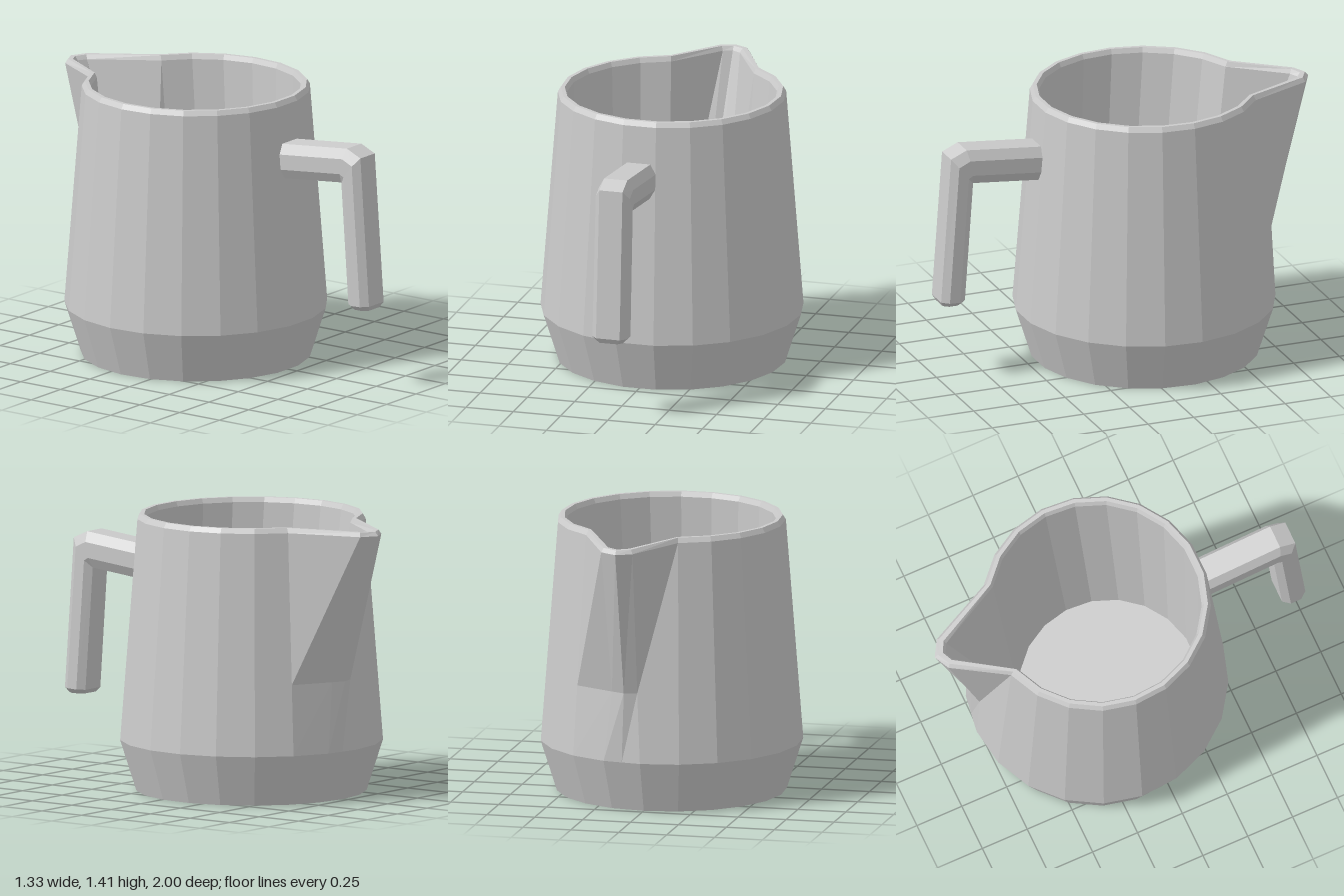
import * as THREE from 'three';

const SIDES = 21;
const material = new THREE.MeshStandardMaterial({ color: 0xcccccc, flatShading: true, side: THREE.DoubleSide });

// Skin a list of equal-length rings and close both ends with fans
function loft(name, rings) {
  const n = rings[0].length, pos = [];
  const tri = (a, b, c) => pos.push(...a, ...b, ...c);
  for (let r = 0; r + 1 < rings.length; r++) {
    for (let i = 0; i < n; i++) {
      const j = (i + 1) % n, lo = rings[r], hi = rings[r + 1];
      tri(lo[i], lo[j], hi[j]);
      tri(lo[i], hi[j], hi[i]);
    }
  }
  const first = rings[0], last = rings[rings.length - 1];
  const centre = ring => [0, 1, 2].map(k => ring.reduce((s, p) => s + p[k], 0) / n);
  const c0 = centre(first), c1 = centre(last);
  for (let i = 0; i < n; i++) {
    const j = (i + 1) % n;
    tri(c0, first[j], first[i]);
    tri(c1, last[i], last[j]);
  }
  const geo = new THREE.BufferGeometry();
  geo.setAttribute('position', new THREE.Float32BufferAttribute(pos, 3));
  geo.computeVertexNormals();
  const mesh = new THREE.Mesh(geo, material);
  mesh.name = name;
  return mesh;
}

// Round ring whose back facet can be pulled out into three spout points [x, y, z]
function jugRing(y, radius, zc, spout) {
  const ring = [];
  for (let i = 0; i < SIDES; i++) {
    const a = (i + 0.5) * Math.PI * 2 / SIDES;
    ring.push([radius * Math.sin(a), y, zc + radius * Math.cos(a)]);
  }
  const [p, q] = [ring[9], ring[10]];
  const back = spout || [p, p.map((v, k) => (v + q[k]) / 2), q];
  ring.splice(9, 2, ...back);
  return ring;
}

// Octagonal handle section between an outer and an inner point, each [z, y]
function handleRing(outer, inner, halfWidth) {
  const section = [[1, 0.28], [0.68, 0.0], [-0.68, 0.0], [-1, 0.28], [-1, 0.72], [-0.68, 1], [0.68, 1], [1, 0.72]];
  return section.map(([x, t]) => [
    x * halfWidth,
    THREE.MathUtils.lerp(outer[1], inner[1], t),
    THREE.MathUtils.lerp(outer[0], inner[0], t),
  ]);
}

export function createModel() {
  const group = new THREE.Group();
  group.name = 'pitcher';
  const zc = -0.135;

  // Body: outer wall upward, over the chamfered rim, down the inner wall to the floor
  group.add(loft('body', [
    jugRing(0, 0.585, zc),
    jugRing(0.26, 0.668, zc),
    jugRing(0.62, 0.64, zc, [[0.155, 0.62, -0.765], [0.086, 0.62, -0.795], [0.02, 0.62, -0.778]]),
    jugRing(1.39, 0.58, zc, [[0.165, 1.38, -0.95], [0.08, 1.38, -1], [0, 1.38, -0.96]]),
    jugRing(1.415, 0.565, zc, [[0.155, 1.402, -0.94], [0.08, 1.4, -0.982], [0.01, 1.402, -0.948]]),
    jugRing(1.415, 0.545, zc, [[0.135, 1.402, -0.925], [0.08, 1.4, -0.955], [0.025, 1.402, -0.93]]),
    jugRing(1.39, 0.533, zc, [[0.125, 1.38, -0.915], [0.08, 1.38, -0.94], [0.033, 1.38, -0.92]]),
    jugRing(0.1, 0.46, -0.06),
  ]));

  // Handle: out from the wall, round the bend, down to a chamfered free end
  group.add(loft('handle', [
    handleRing([0.42, 1.195], [0.42, 1.015], 0.09),
    handleRing([0.86, 1.238], [0.825, 1.055], 0.09),
    handleRing([0.945, 1.2], [0.825, 1.05], 0.09),
    handleRing([1.0, 0.43], [0.87, 0.425], 0.092),
    handleRing([0.985, 0.403], [0.885, 0.403], 0.068),
  ]));
  return group;
}
